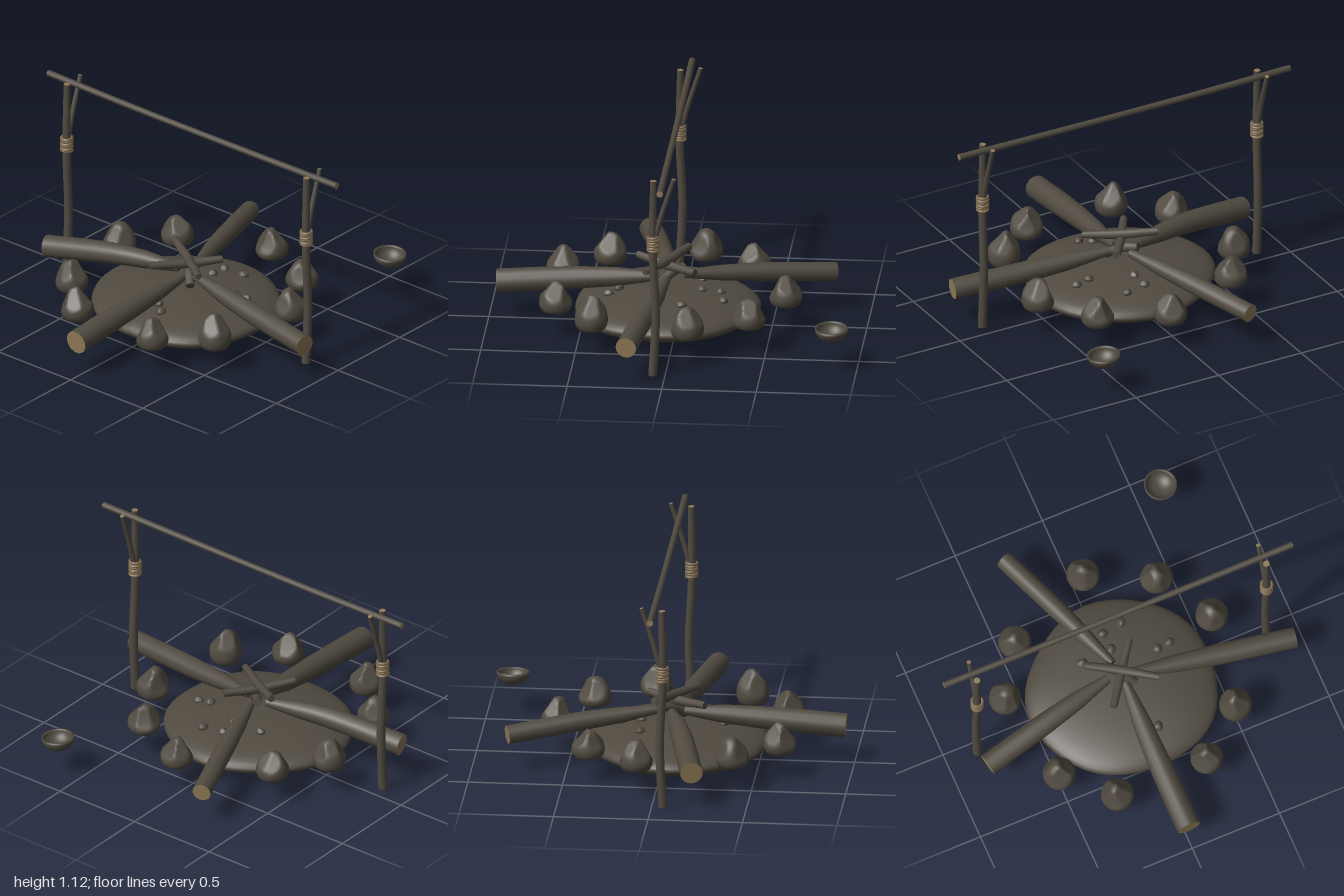
import * as THREE from 'three';
import { mergeVertices } from 'three/addons/utils/BufferGeometryUtils.js';

const V = (a) => new THREE.Vector3(...a);

function material(name, color, side = THREE.FrontSide) {
  const m = new THREE.MeshStandardMaterial({ color, side });
  m.name = name;
  return m;
}

// Small seeded generator for irregular rocks
function seeded(seed) {
  let s = seed * 7919 + 17;
  return () => (s = (s * 16807) % 2147483647) / 2147483647;
}

export function createModel() {
  const model = new THREE.Group();
  const bark = material('charredBark', 0x504a40);
  const cutWood = material('cutWood', 0x8e7957);
  const rope = material('rope', 0x7f6b4e);

  const add = (parent, name, geometry, mat) => {
    const mesh = new THREE.Mesh(geometry, mat);
    mesh.name = name;
    parent.add(mesh);
    return mesh;
  };

  // Tapered, bent branch: a tube whose rings are scaled along its path, with end caps
  function branch(parent, name, points, radii, startCap, endCap, sides = 14) {
    const group = new THREE.Group();
    group.name = name;
    parent.add(group);
    const curve = new THREE.CatmullRomCurve3(points.map(V));
    const rings = 16;
    const geo = new THREE.TubeGeometry(curve, rings, 1, sides);
    const pos = geo.attributes.position;
    const p = new THREE.Vector3();
    const radiusAt = (t) => {
      const f = t * (radii.length - 1);
      const i = Math.min(Math.floor(f), radii.length - 2);
      return THREE.MathUtils.lerp(radii[i], radii[i + 1], f - i);
    };
    for (let i = 0; i <= rings; i++) {
      const c = curve.getPointAt(i / rings);
      for (let j = 0; j <= sides; j++) {
        const k = i * (sides + 1) + j;
        p.fromBufferAttribute(pos, k).sub(c).multiplyScalar(radiusAt(i / rings)).add(c);
        pos.setXYZ(k, p.x, p.y, p.z);
      }
    }
    add(group, name + 'Bark', geo, bark);
    [[0, startCap, -1], [1, endCap, 1]].forEach(([t, mat, dir]) => {
      const cap = add(group, name + 'End', new THREE.CircleGeometry(radiusAt(t), sides), mat);
      cap.position.copy(curve.getPointAt(t));
      cap.quaternion.setFromUnitVectors(V([0, 0, 1]), curve.getTangentAt(t).multiplyScalar(dir));
    });
  }

  // Rock: a sphere cut flat by a few planes, then given smooth normals
  function rockGeometry(seed, detail, cuts, flatBase) {
    const rnd = seeded(seed);
    let geo = new THREE.IcosahedronGeometry(1, detail);
    geo.deleteAttribute('normal');
    geo.deleteAttribute('uv');
    geo = mergeVertices(geo, 1e-4);
    const planes = [];
    for (let i = 0; i < cuts; i++) {
      const a = (i + rnd() * 0.7) * Math.PI * 2 / cuts;
      planes.push([V([Math.cos(a), 0.25 + rnd() * 0.8, Math.sin(a)]).normalize(), 0.7 + rnd() * 0.16]);
    }
    const pos = geo.attributes.position;
    const p = new THREE.Vector3();
    for (let i = 0; i < pos.count; i++) {
      p.fromBufferAttribute(pos, i);
      for (const [n, d] of planes) {
        const over = p.dot(n) - d;
        if (over > 0) p.addScaledVector(n, -over);
      }
      if (flatBase) {
        const spread = p.y < 0 ? 1 + 0.28 * -p.y : 1 - 0.15 * p.y;
        p.set(p.x * spread, Math.max(p.y, -0.72), p.z * spread);
      }
      pos.setXYZ(i, p.x, p.y, p.z);
    }
    geo.computeVertexNormals();
    return geo;
  }

  // Lens-shaped ash bed with an uneven outline
  const bedGeo = new THREE.SphereGeometry(1, 48, 24);
  const bp = bedGeo.attributes.position;
  for (let i = 0; i < bp.count; i++) {
    const x = bp.getX(i), y = bp.getY(i), z = bp.getZ(i);
    const a = Math.atan2(z, x);
    const r = 1 + 0.018 * Math.sin(3 * a + 0.6) + 0.014 * Math.sin(5 * a + 2);
    bp.setXYZ(i, x * r * 0.49, y * 0.1, z * r * 0.51);
  }
  bedGeo.computeVertexNormals();
  add(model, 'ashBed', bedGeo, bark).position.set(-0.06, 0.105, 0);

  // Ring of stones: x, z, top height
  const stones = new THREE.Group();
  stones.name = 'stoneRing';
  model.add(stones);
  [
    [0.10, -0.60, 0.31], [0.37, -0.43, 0.30], [0.575, 0.05, 0.305],
    [0.41, 0.40, 0.30], [0.10, 0.585, 0.315], [-0.415, 0.50, 0.335],
    [-0.625, 0.245, 0.31], [-0.63, -0.27, 0.32], [-0.40, -0.505, 0.31],
  ].forEach(([x, z, top], i) => {
    const geo = rockGeometry(i + 3, 5, 5, true);
    geo.computeBoundingBox();
    const { min, max } = geo.boundingBox;
    const h = (top - 0.145) / (max.y - min.y);
    const stone = add(stones, 'ringStone', geo, bark);
    const w = 0.175 / (max.x - min.x), d = 0.175 / (max.z - min.z);
    stone.scale.set(w, h, d);
    stone.position.set(x - (min.x + max.x) / 2 * w, 0.145 - min.y * h, z - (min.z + max.z) / 2 * d);
  });

  // Coals scattered on the bed
  [
    [0.12, -0.15], [0.13, 0.02], [0.23, 0.015], [0.25, 0.13],
    [0.04, 0.245], [0.05, 0.32], [-0.36, 0.08], [-0.31, 0.02],
  ].forEach(([x, z], i) => {
    const y = 0.105 + 0.1 * Math.sqrt(1 - ((x + 0.06) / 0.49) ** 2 - (z / 0.51) ** 2);
    const coal = add(model, 'coal', rockGeometry(i + 40, 2, 5, false), bark);
    coal.scale.set(0.026, 0.02, 0.03);
    coal.position.set(x, y + 0.008, z);
    coal.rotation.y = i * 1.3;
  });

  // Four large logs leaning in to the middle, outer end first
  branch(model, 'rightLog', [[-0.955, 0.21, 0], [-0.5, 0.242, -0.003], [-0.1, 0.265, 0.005]],
    [0.064, 0.064, 0.06, 0.05, 0.024], cutWood, bark);
  branch(model, 'backLog', [[-0.215, 0.213, -0.835], [-0.12, 0.27, -0.4], [-0.04, 0.275, -0.07]],
    [0.06, 0.06, 0.057, 0.048, 0.024], cutWood, bark);
  branch(model, 'leftLog', [[0.81, 0.205, -0.3], [0.42, 0.245, -0.155], [0.03, 0.275, -0.015]],
    [0.05, 0.051, 0.05, 0.042, 0.022], cutWood, bark);
  branch(model, 'frontLog', [[-0.195, 0.207, 0.935], [-0.115, 0.24, 0.42], [-0.055, 0.27, 0.06]],
    [0.056, 0.057, 0.056, 0.046, 0.022], cutWood, bark);

  // Kindling crossed over the middle
  branch(model, 'upperStick', [[-0.16, 0.345, 0.17], [-0.05, 0.355, 0], [0.045, 0.372, -0.17]],
    [0.018, 0.026, 0.02], bark, bark, 10);
  branch(model, 'lowerStick', [[-0.22, 0.338, -0.115], [-0.05, 0.325, 0], [0.1, 0.328, 0.11]],
    [0.02, 0.026, 0.02], bark, bark, 10);
  branch(model, 'innerStick', [[-0.1, 0.23, 0.06], [-0.04, 0.28, 0], [0.03, 0.3, -0.06]],
    [0.024, 0.026, 0.022], bark, bark, 10);

  // Forked posts with rope lashing, front and back
  for (const z of [0.83, -0.83]) {
    const post = new THREE.Group();
    post.name = z > 0 ? 'frontPost' : 'backPost';
    model.add(post);
    branch(post, 'postPole', [[-0.062, 0.02, z], [-0.046, 0.35, z], [-0.062, 0.72, z], [-0.058, 1.112, z]],
      [0.024, 0.023, 0.022, 0.018], bark, cutWood, 10);
    branch(post, 'postFork', [[-0.062, 0.74, z], [-0.015, 0.92, z], [0.05, 1.125, z]],
      [0.016, 0.014, 0.012], bark, cutWood, 10);
    for (let i = 0; i < 6; i++) {
      const coil = add(post, 'ropeCoil', new THREE.TorusGeometry(0.028, 0.008, 8, 24), rope);
      coil.position.set(-0.06, 0.723 + i * 0.0145, z);
      coil.rotation.set(Math.PI / 2, i % 2 ? 0.08 : -0.08, 0);
    }
  }

  // Crossbar resting in the forks
  branch(model, 'crossbar', [[-0.01, 1.102, 1], [-0.01, 1.097, 0.4], [-0.01, 1.095, -0.4], [-0.01, 1.102, -1]],
    [0.018, 0.0165, 0.018], cutWood, cutWood, 10);

  // Open bowl with a thick wall
  const profile = [];
  for (let i = 0; i <= 10; i++) {
    const a = i / 10 * Math.PI / 2;
    profile.push(new THREE.Vector2(0.088 * Math.sin(a), -0.076 * Math.cos(a)));
  }
  for (let i = 10; i >= 0; i--) {
    const a = i / 10 * Math.PI / 2;
    profile.push(new THREE.Vector2(0.078 * Math.sin(a), -0.064 * Math.cos(a)));
  }
  const bowl = add(model, 'bowl', new THREE.LatheGeometry(profile, 32), bark);
  bowl.position.set(0.865, 0.234, 0.62);
  bowl.rotation.x = 0.08;

  return model;
}
